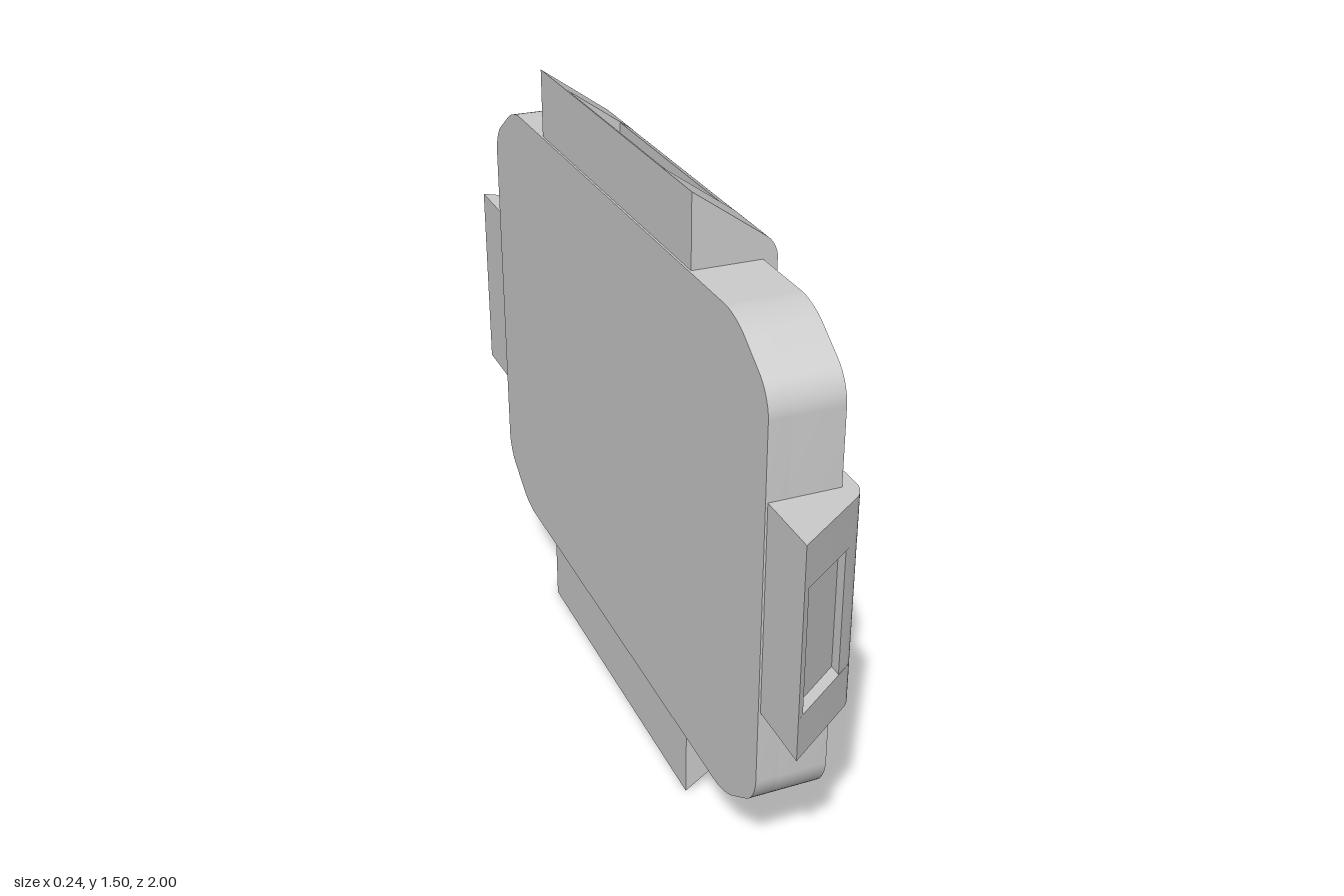
import * as THREE from 'three';
import { toCreasedNormals } from 'three/addons/utils/BufferGeometryUtils.js';

const CY = 0.752; // height of the centre axis
const material = new THREE.MeshStandardMaterial({ color: 0xcccccc });

// Closed outline through [x, y, cut] corners; each corner is rounded over length `cut`
function roundedOutline(points, path = new THREE.Shape()) {
  const n = points.length;
  points.forEach(([x, y, cut = 0], i) => {
    const p = new THREE.Vector2(x, y);
    const toward = ([qx, qy]) =>
      new THREE.Vector2(qx, qy).sub(p).normalize().multiplyScalar(cut).add(p);
    const a = toward(points[(i + n - 1) % n]);
    const b = toward(points[(i + 1) % n]);
    if (i === 0) path.moveTo(a.x, a.y);
    else path.lineTo(a.x, a.y);
    if (cut) {
      // cubic that stays close to a circular arc
      const c1 = a.clone().lerp(p, 0.552), c2 = b.clone().lerp(p, 0.552);
      path.bezierCurveTo(c1.x, c1.y, c2.x, c2.y, b.x, b.y);
    }
  });
  path.closePath();
  return path;
}

const rectangle = (w, h, r) => [[-w, -h, r], [w, -h, r], [w, h, r], [-w, h, r]];

function extrude(shape, depth) {
  const g = new THREE.ExtrudeGeometry(shape, { depth, bevelEnabled: false, curveSegments: 10 });
  return toCreasedNormals(g, 0.45);
}

// Slab lying in the yz plane between x0 and x1
function slab(name, shape, x0, x1) {
  const g = extrude(shape, x1 - x0);
  g.rotateY(Math.PI / 2).translate(x0, 0, 0);
  const mesh = new THREE.Mesh(g, material);
  mesh.name = name;
  return mesh;
}

// Hooked latch: solid ends with a recessed middle section
function latch(name, reach, halfLength, pocketHalf, angle) {
  const profile = (pocket) => roundedOutline([
    [-0.115, -0.17], [0.043, -0.17], [0.043, -0.25, 0.008], [0.078, -0.25, 0.02],
    [0.078, -0.136, 0.03],
    ...(pocket ? [[0.025, -0.1], [0.025, -0.13], [-0.1, -0.041], [-0.1, -0.011]] : []),
    [-0.115, 0],
  ]);
  const group = new THREE.Group();
  group.name = name;
  const sections = [
    ['latchEnd', -halfLength, -pocketHalf, false],
    ['latchRecess', -pocketHalf, pocketHalf, true],
    ['latchEnd', pocketHalf, halfLength, false],
  ];
  for (const [part, z0, z1, pocket] of sections) {
    const g = extrude(profile(pocket), z1 - z0);
    g.translate(0, reach, z0);
    const mesh = new THREE.Mesh(g, material);
    mesh.name = part;
    group.add(mesh);
  }
  group.rotation.x = angle;
  return group;
}

export function createModel() {
  const model = new THREE.Group();
  model.name = 'latchedPanel';
  const body = new THREE.Group();
  body.name = 'assembly';
  body.position.y = CY - 0.002;
  model.add(body);

  // Chamfered outline of the frame
  const W = 0.835, H = 0.583, cw = 0.155, ch = 0.105, r = 0.05;
  const outline = [
    [-W + cw, -H, r], [W - cw, -H, r], [W, -H + ch, r], [W, H - ch, r],
    [W - cw, H, r], [-W + cw, H, r], [-W, H - ch, r], [-W, -H + ch, r],
  ];

  // Back plate, frame around the groove, and raised centre panel
  const floor = -0.07;
  body.add(slab('backPlate', roundedOutline(outline), -0.12, floor));
  const frame = roundedOutline(outline);
  frame.holes.push(roundedOutline(rectangle(0.668, 0.422, 0.055), new THREE.Path()));
  body.add(slab('frame', frame, floor, 0.045));
  body.add(slab('centrePanel', roundedOutline(rectangle(0.625, 0.375, 0.08)), floor, 0.12));

  // Four latches, long ones above and below, short ones at the sides
  ['topLatch', 'frontLatch', 'bottomLatch', 'backLatch'].forEach((name, i) => {
    const side = i % 2 === 1;
    body.add(latch(name, side ? 1 : 0.75, side ? 0.25 : 0.457, side ? 0.148 : 0.296, i * Math.PI / 2));
  });
  return model;
}
